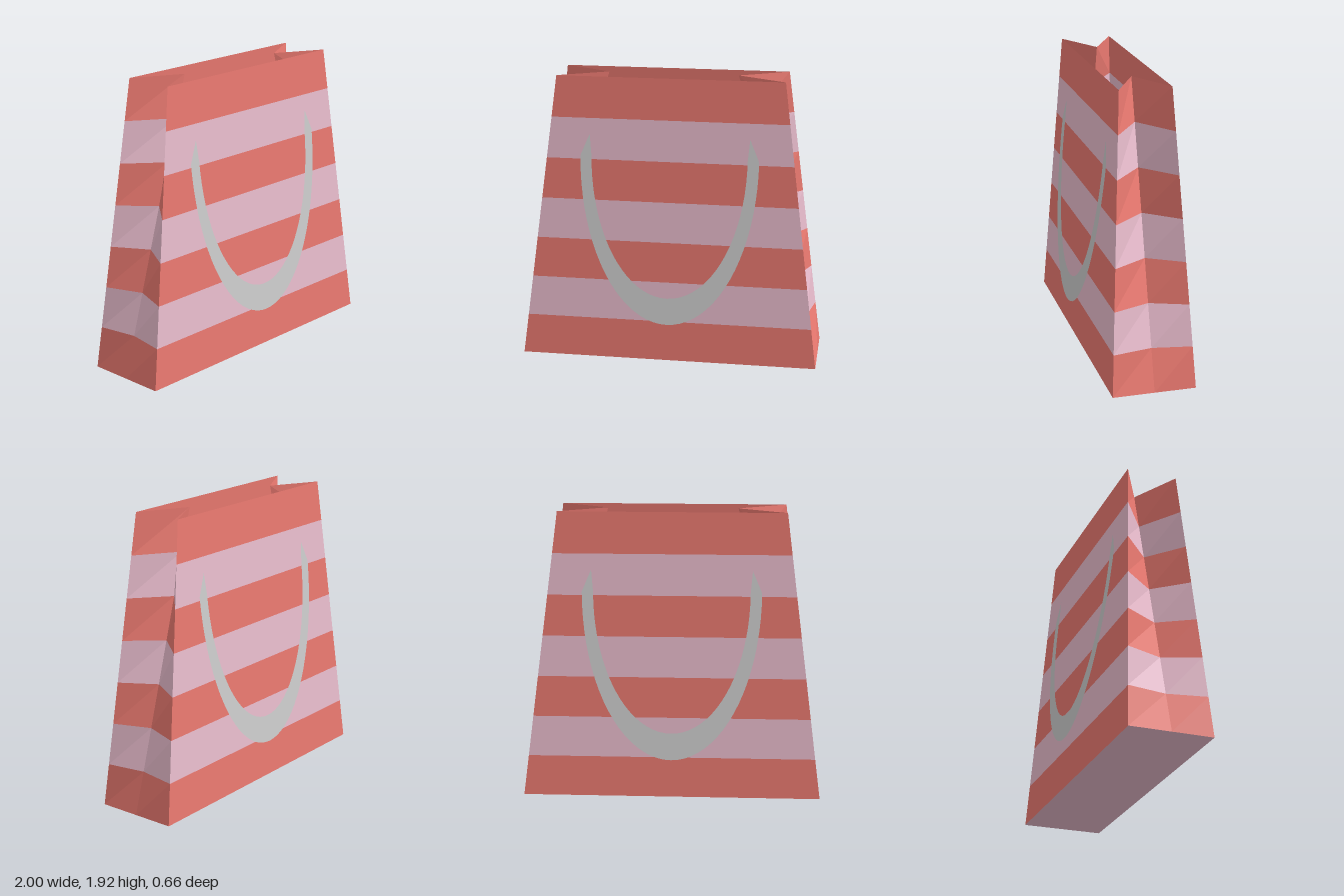
import * as THREE from 'three';

const HEIGHT = 1.925;
const BANDS = 7;

// Horizontal section of the bag at fraction t of its height, with folded-in sides
function section(t) {
  const x = 1 - 0.25 * t;      // half width
  const z = 0.275 - 0.105 * t; // half depth
  const c = 1 - 0.57 * t;      // side crease
  return [[x, z], [c, 0], [x, -z], [-x, -z], [-c, 0], [-x, z]]
    .map(([px, pz]) => new THREE.Vector3(px, t * HEIGHT, pz));
}

function bandGeometry(t0, t1) {
  const lo = section(t0), hi = section(t1), points = [];
  lo.forEach((a, i) => {
    const j = (i + 1) % lo.length;
    points.push(a, lo[j], hi[j], a, hi[j], hi[i]);
  });
  const geometry = new THREE.BufferGeometry().setFromPoints(points);
  geometry.computeVertexNormals();
  return geometry;
}

// Flat hanging band with pointed ends, leaning away from the bag wall
function handleGeometry() {
  const outer = [], inner = [], steps = 40;
  for (let i = 0; i <= steps; i++) {
    const a = Math.PI * (1 + i / steps);
    outer.push(new THREE.Vector2(0.592 * Math.cos(a), 1.4 + 1.12 * Math.sin(a)));
    inner.push(new THREE.Vector2(0.517 * Math.cos(a), 1.4 + 0.94 * Math.sin(a)));
  }
  const outline = [
    ...outer, new THREE.Vector2(0.53, 1.545),
    ...inner.reverse(), new THREE.Vector2(-0.53, 1.545),
  ];
  const geometry = new THREE.ShapeGeometry(new THREE.Shape(outline));
  const p = geometry.attributes.position;
  for (let i = 0; i < p.count; i++) p.setZ(i, 0.192 + 0.109 * (1.55 - p.getY(i)));
  geometry.computeVertexNormals();
  return geometry;
}

export function createModel() {
  const bag = new THREE.Group();
  bag.name = 'giftBag';
  const material = (color) => new THREE.MeshStandardMaterial({ color, side: THREE.DoubleSide });
  const red = material(0xec7a71), pink = material(0xebbecf), grey = material(0xcccccc);

  const add = (name, geometry, mat) => {
    const mesh = new THREE.Mesh(geometry, mat);
    mesh.name = name;
    bag.add(mesh);
    return mesh;
  };

  // Striped walls, open at the top
  for (let i = 0; i < BANDS; i++) {
    add(`stripe${i + 1}`, bandGeometry(i / BANDS, (i + 1) / BANDS), i % 2 ? pink : red);
  }

  // Floor
  add('floor', new THREE.PlaneGeometry(2, 0.55).rotateX(Math.PI / 2), pink);

  // Handles on both faces
  add('frontHandle', handleGeometry(), grey);
  add('backHandle', handleGeometry(), grey).rotation.y = Math.PI;

  return bag;
}
